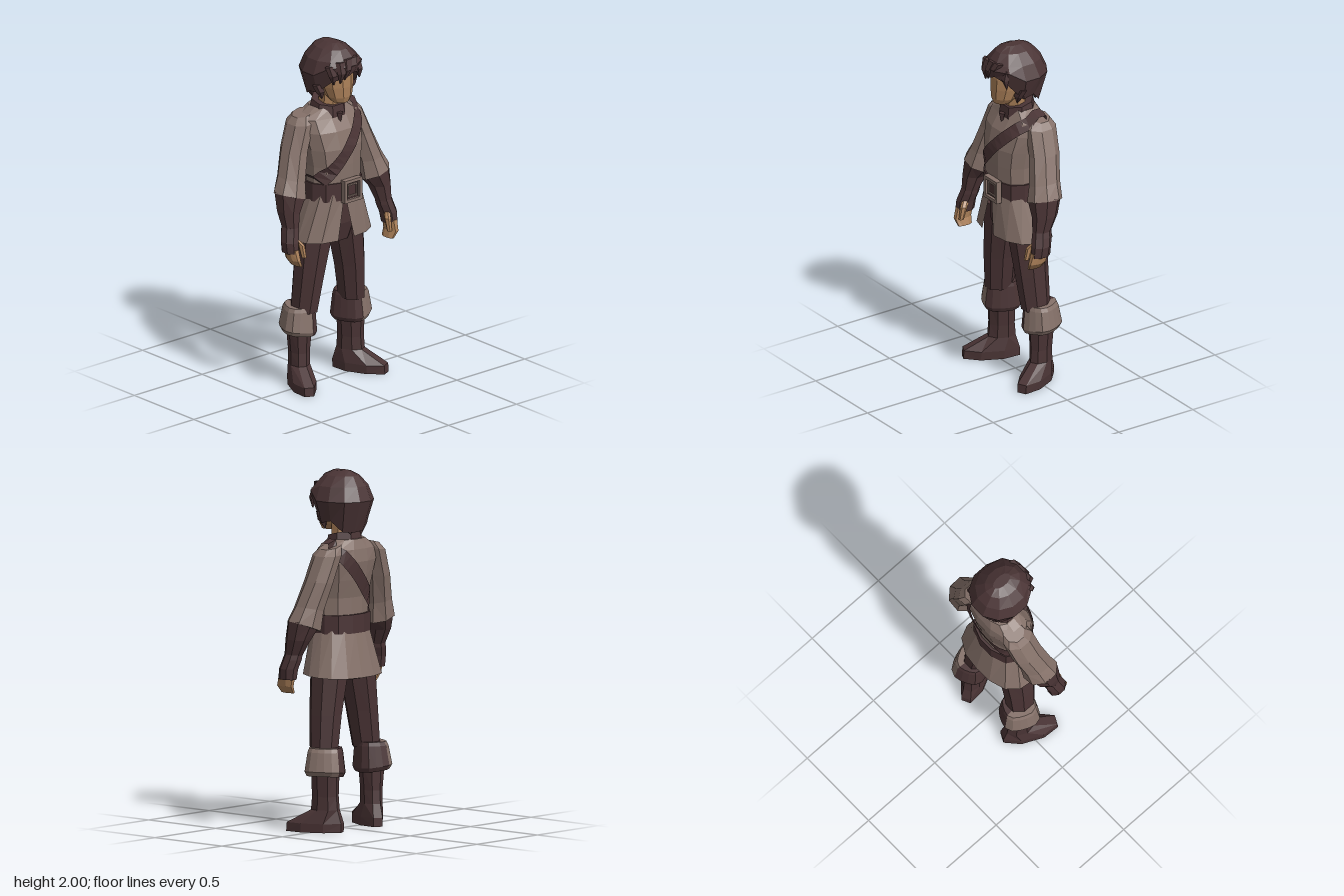
import * as THREE from 'three';

const make = (name, color) => {
  const m = new THREE.MeshStandardMaterial({ color, flatShading: true, side: THREE.DoubleSide });
  m.name = name;
  return m;
};

// Superellipse ring: y, centre x/z, radii x/z, slope along x and z
function ring([y, cx, cz, rx, rz, sx = 0, sz = 0], n = 8, p = 2.5) {
  const pts = [];
  for (let i = 0; i < n; i++) {
    const a = (i + 0.5) / n * Math.PI * 2;
    const s = Math.sin(a), c = Math.cos(a);
    const k = Math.pow(Math.abs(s) ** p + Math.abs(c) ** p, -1 / p);
    pts.push([cx + s * k * rx, y + s * k * rx * sx + c * k * rz * sz, cz + c * k * rz]);
  }
  return pts;
}

// Skin through rings of points, listed from bottom to top
function loft(rings, { closed = true, caps = true, keep = () => true } = {}) {
  const v = [], n = rings[0].length;
  for (let j = 0; j < rings.length - 1; j++) {
    for (let i = 0; i < (closed ? n : n - 1); i++) {
      if (!keep(i)) continue;
      const k = (i + 1) % n, a = rings[j][i], b = rings[j][k], c = rings[j + 1][k], d = rings[j + 1][i];
      v.push(...a, ...b, ...c, ...a, ...c, ...d);
    }
  }
  if (caps) {
    [rings[0], rings[rings.length - 1]].forEach((r, top) => {
      const m = [0, 1, 2].map(q => r.reduce((t, pt) => t + pt[q], 0) / n);
      for (let i = 0; i < n; i++) {
        if (!keep(i)) continue;
        const k = (i + 1) % n;
        if (top) v.push(...m, ...r[i], ...r[k]);
        else v.push(...m, ...r[k], ...r[i]);
      }
    });
  }
  const g = new THREE.BufferGeometry();
  g.setAttribute('position', new THREE.Float32BufferAttribute(v, 3));
  g.computeVertexNormals();
  return g;
}

export function createModel() {
  const leather = make('dark leather', 0x4a3435);
  const cloth = make('taupe cloth', 0x86726a);
  const skin = make('skin', 0xaa7f58);
  const model = new THREE.Group();
  model.name = 'adventurer';

  const add = (name, geo, mat, parent = model) => {
    const m = new THREE.Mesh(geo, mat);
    m.name = name;
    parent.add(m);
    return m;
  };
  const body = (name, specs, mat, parent, n = 8, p = 2.5, opt) =>
    add(name, loft(specs.map(s => ring(s, n, p)), opt), mat, parent);
  const box = (name, w, h, d, x, y, z, mat) =>
    add(name, new THREE.BoxGeometry(w, h, d), mat).position.set(x, y, z);

  // Tunic upper body
  const torso = [
    [1.12, 0, 0.02, 0.162, 0.125], [1.30, 0, 0.022, 0.165, 0.128], [1.40, 0, 0.012, 0.18, 0.138],
    [1.50, 0, -0.008, 0.20, 0.132], [1.57, 0, -0.025, 0.20, 0.105], [1.625, 0, -0.025, 0.11, 0.085],
  ];
  body('tunicTorso', torso, cloth, model, 12);

  // Tunic skirt, open at the front
  const skirtRow = (y, rx, rz, cz, from, to) => Array.from({ length: 15 }, (_, i) => {
    const a = from + (to - from) * i / 14, s = Math.sin(a), c = Math.cos(a);
    const k = Math.pow(Math.abs(s) ** 2.6 + Math.abs(c) ** 2.6, -1 / 2.6);
    return [s * k * rx, y + c * 0.01, cz + c * k * rz];
  });
  const full = Math.PI * 2;
  add('tunicSkirt', loft([
    skirtRow(0.865, 0.243, 0.168, 0.003, 0.13, full - 0.33),
    skirtRow(1.13, 0.165, 0.13, 0.02, -0.12, full - 0.12),
  ], { closed: false, caps: false }), cloth);
  body('trouserHips', [[0.84, 0, 0, 0.12, 0.10], [0.95, 0, 0.005, 0.17, 0.125], [1.12, 0, 0.015, 0.155, 0.12]], leather);

  // Belt and square buckle
  body('belt', [[1.10, 0, 0.018, 0.174, 0.137], [1.205, 0, 0.018, 0.174, 0.137]], leather, model, 12);
  const square = (w, h) => [[-w, -h], [w, -h], [w, h], [-w, h]].map(q => new THREE.Vector2(...q));
  const frame = (name, w, h, t, z, d) => {
    const s = new THREE.Shape(square(w, h));
    s.holes.push(new THREE.Path(square(w - t, h - t).reverse()));
    add(name, new THREE.ExtrudeGeometry(s, { depth: d, bevelEnabled: false }), cloth).position.set(0.018, 1.155, z);
  };
  frame('buckleFrame', 0.064, 0.066, 0.018, 0.15, 0.033);
  box('bucklePlate', 0.1, 0.1, 0.015, 0.018, 1.155, 0.16, leather);
  frame('buckleInnerFrame', 0.035, 0.037, 0.008, 0.165, 0.01);

  // Shoulder strap wrapped around the torso
  const torsoZ = (x, y, side) => {
    let j = 0;
    while (j < torso.length - 2 && y > torso[j + 1][0]) j++;
    const t = (y - torso[j][0]) / (torso[j + 1][0] - torso[j][0]);
    const at = q => torso[j][q] + (torso[j + 1][q] - torso[j][q]) * t;
    const u = Math.min(Math.abs(x) / at(3), 0.99);
    return at(2) + side * (at(4) * Math.pow(1 - u ** 2.5, 1 / 2.5) + 0.012);
  };
  const strapSide = side => Array.from({ length: 13 }, (_, i) => {
    const x = -0.158 + 0.325 * i / 12, y = 1.225 + 0.35 * i / 12;
    return [-1, 1].map(e => {
      const px = x + e * 0.026, py = y - e * 0.026;
      return [px < -0.165 ? -0.178 : px, py, torsoZ(px, py, side)];
    });
  });
  const path = [...strapSide(1), [[0.135, 1.632, -0.02], [0.2, 1.612, -0.02]],
    [[0.135, 1.632, -0.07], [0.2, 1.612, -0.07]], ...strapSide(-1).reverse()];
  path.push(path[0]);
  add('shoulderStrap', loft(path, { closed: false, caps: false }), leather);

  // Collar, neck and face
  body('collar', [[1.565, 0, -0.01, 0.118, 0.095, 0, -0.2], [1.61, 0, -0.01, 0.108, 0.092, 0, -0.25],
    [1.655, 0, -0.01, 0.1, 0.085, 0, -0.25]], leather);
  const notch = add('collarNotch', new THREE.ConeGeometry(0.022, 0.08, 4), leather);
  notch.rotation.x = Math.PI;
  notch.position.set(0, 1.555, 0.088);
  body('neck', [[1.6, 0, 0, 0.068, 0.06], [1.76, 0, 0.01, 0.062, 0.06]], skin);
  body('face', [[1.668, 0, 0.09, 0.05, 0.05], [1.70, 0, 0.078, 0.075, 0.072], [1.76, 0, 0.06, 0.093, 0.093],
    [1.82, 0, 0.05, 0.102, 0.1], [1.92, 0, 0.04, 0.1, 0.095]], skin, model, 10, 2);

  // Hair shell with an uneven hem
  const hem = [1.85, 1.82, 1.715, 1.73, 1.67, 1.665, 1.67, 1.685, 1.72, 1.73, 1.81, 1.82];
  const hairRings = [[1.7, 0.005, 0.005, 0.135, 0.13], [1.84, 0.006, 0, 0.172, 0.18],
    [1.92, 0.003, 0.008, 0.14, 0.155], [1.975, 0, 0.01, 0.085, 0.11], [2.0, 0, 0.005, 0.03, 0.06]]
    .map(r => ring(r, 12, 2));
  hairRings[0].forEach((p, i) => {
    p[1] = hem[i];
    if (p[2] > 0.07) p[2] += 0.035;
  });
  hairRings[1].forEach(p => { if (p[2] > 0.08) p[1] = 1.89; });
  hairRings.unshift(hairRings[0].map(p => [p[0] * 0.5, 1.86, p[2] * 0.5]));
  add('hair', loft(hairRings), leather);

  // Fringe and side locks: x, y of the root, x, y of the tip, depth, width
  [[-0.10, 1.9, -0.085, 1.79, 0.13, 0.035], [-0.045, 1.92, -0.06, 1.80, 0.158, 0.035],
    [0.0, 1.93, -0.03, 1.815, 0.162, 0.035], [0.045, 1.93, 0.01, 1.85, 0.155, 0.035],
    [0.09, 1.9, 0.105, 1.79, 0.13, 0.03], [0.13, 1.78, 0.09, 1.68, 0.05, 0.04],
    [-0.13, 1.78, -0.10, 1.69, 0.05, 0.035], [0.06, 1.76, 0.05, 1.655, -0.1, 0.05],
    [-0.06, 1.76, -0.04, 1.65, -0.1, 0.05]].forEach(([x, y, tx, ty, z, w]) =>
    body('hairLock', [[ty, tx, z, 0.004, 0.004], [(y + ty) / 2, (x + tx) / 2, z + 0.006, w * 0.8, 0.02],
      [y, x, z * 0.92, w, 0.02]], leather, model, 5, 2));

  // Limbs, built on the left and mirrored
  [1, -1].forEach(side => {
    const half = new THREE.Group();
    half.name = side > 0 ? 'leftLimbs' : 'rightLimbs';
    half.scale.x = side;
    model.add(half);

    body('sleeve', [[1.155, 0.305, 0.015, 0.09, 0.098, 0.35, 0.1], [1.25, 0.282, 0, 0.072, 0.088, 0.25],
      [1.40, 0.236, -0.03, 0.066, 0.088, 0.1], [1.55, 0.18, -0.045, 0.066, 0.088, -0.1],
      [1.595, 0.155, -0.05, 0.06, 0.06, -0.25]], cloth, half);
    body('bracer', [[0.99, 0.342, 0.062, 0.044, 0.052], [1.08, 0.335, 0.035, 0.06, 0.073, 0.1],
      [1.165, 0.307, 0.018, 0.086, 0.09, 0.3]], leather, half);
    body('glove', [[0.86, 0.365, 0.085, 0.04, 0.056], [0.92, 0.362, 0.078, 0.047, 0.056],
      [0.97, 0.348, 0.065, 0.048, 0.056], [1.0, 0.342, 0.06, 0.045, 0.053]], leather, half);
    body('fingers', [[0.78, 0.337, 0.105, 0.016, 0.045], [0.82, 0.36, 0.105, 0.026, 0.054],
      [0.88, 0.363, 0.09, 0.032, 0.052]], skin, half);
    body('thumb', [[0.83, 0.315, 0.145, 0.014, 0.014], [0.90, 0.318, 0.125, 0.017, 0.02],
      [0.93, 0.335, 0.1, 0.015, 0.02]], skin, half, 6);

    body('trouserLeg', [[0.44, 0.175, -0.015, 0.072, 0.082], [0.65, 0.15, -0.005, 0.083, 0.095],
      [0.87, 0.115, 0, 0.1, 0.108], [1.0, 0.1, 0, 0.095, 0.11]], leather, half);

    // Boot turned outwards, cuff cloth on the outside only
    const lower = new THREE.Group();
    lower.name = 'lowerLeg';
    lower.position.set(0.19, 0, -0.04);
    lower.rotation.y = 0.45;
    half.add(lower);
    body('boot', [[0, 0, 0.06, 0.066, 0.162], [0.05, 0, 0.058, 0.068, 0.16], [0.125, 0, 0.0, 0.056, 0.078],
      [0.2, 0, 0, 0.056, 0.072], [0.34, 0, 0, 0.068, 0.076]], leather, lower, 8, 3);
    const cuff = [[0.31, 0.004, 0, 0.088, 0.098, 0.1], [0.335, 0.006, 0, 0.1, 0.11, 0.1],
      [0.45, 0, 0, 0.086, 0.095], [0.472, -0.003, 0, 0.078, 0.088]];
    const outer = i => i < 6 || i > 13;
    body('cuffOuter', cuff, cloth, lower, 16, 3, { keep: outer });
    body('cuffInner', cuff, leather, lower, 16, 3, { keep: i => !outer(i) });
  });
  return model;
}
